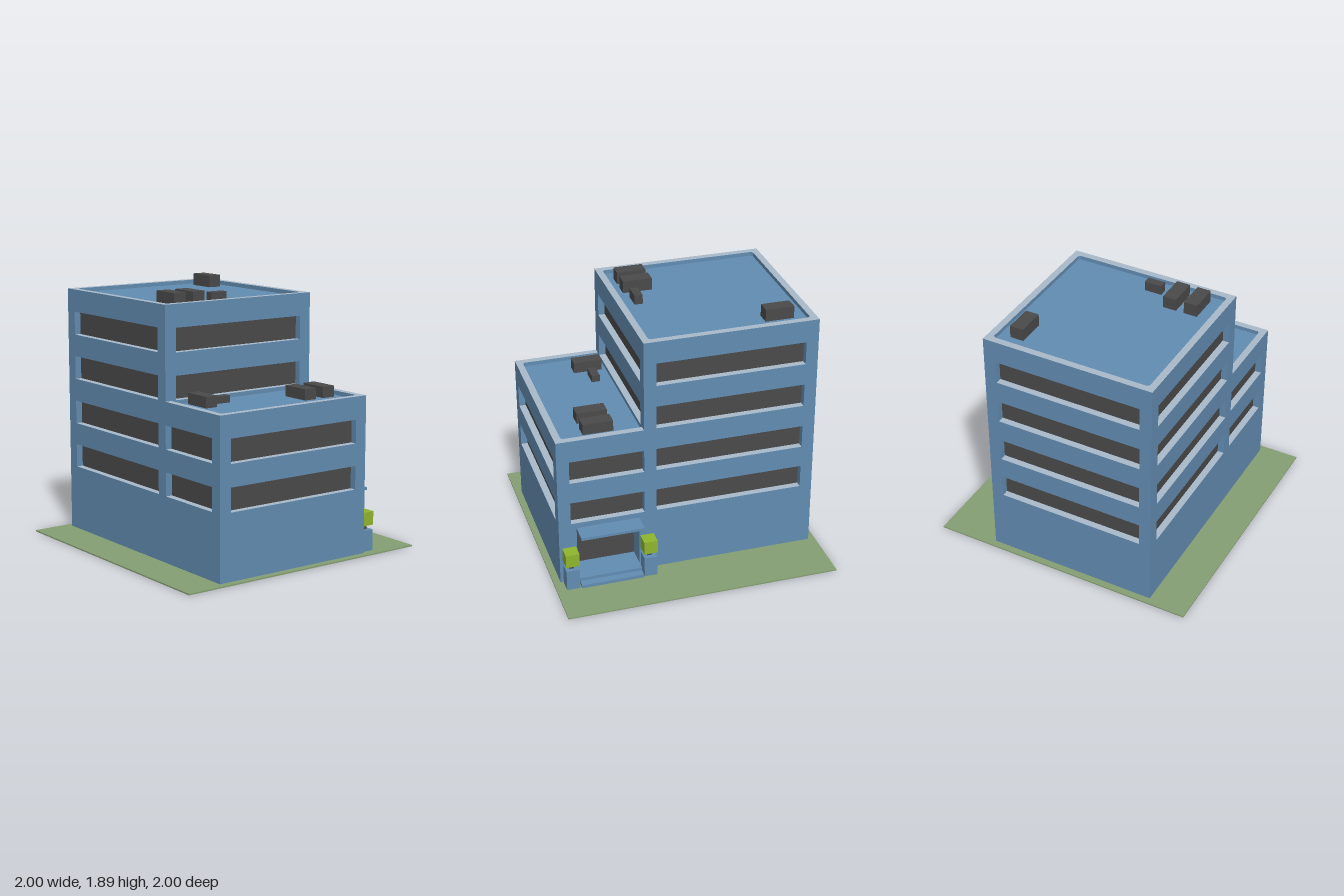
import * as THREE from 'three';

const mat = (name, color) => {
  const m = new THREE.MeshStandardMaterial({ color });
  m.name = name;
  return m;
};

export function createModel() {
  const blue = mat('blue wall', 0x628cb1);
  const pale = mat('pale trim', 0xa9bac9);
  const dark = mat('dark grey', 0x4a4a4a);
  const grass = mat('grass', 0x859f73);
  const leaf = mat('leaf green', 0x8fb52d);

  const model = new THREE.Group();
  model.name = 'officeBuilding';

  // Box given by its limits on each axis
  const box = (name, material, x0, x1, y0, y1, z0, z1, parent = model) => {
    const mesh = new THREE.Mesh(new THREE.BoxGeometry(x1 - x0, y1 - y0, z1 - z0), material);
    mesh.position.set((x0 + x1) / 2, (y0 + y1) / 2, (z0 + z1) / 2);
    mesh.name = name;
    parent.add(mesh);
    return mesh;
  };
  const toPoints = (list) => list.map(([x, y]) => new THREE.Vector2(x, y));
  const rectangle = (x0, x1, y0, y1) => [[x0, y0], [x1, y0], [x1, y1], [x0, y1]];

  const T = 0.05; // wall thickness
  const TOWER = 1.8, WING = 1.13, PARAPET = 0.03;
  const rows = [0.49, 0.823, 1.16, 1.493];
  const windowHeight = 0.172;

  // Wall with recessed window bands; its outer face lies on local z = 0
  const wall = (name, outline, windows, angle, x, z, door) => {
    const group = new THREE.Group();
    group.name = name;
    const shape = new THREE.Shape(toPoints(outline));
    const holes = door ? [...windows, door] : windows;
    holes.forEach((h) => shape.holes.push(new THREE.Path(toPoints(rectangle(...h)))));
    const geometry = new THREE.ExtrudeGeometry(shape, { depth: T, bevelEnabled: false });
    geometry.translate(0, 0, -T);
    const panel = new THREE.Mesh(geometry, blue);
    panel.name = name + 'Panel';
    group.add(panel);
    windows.forEach(([x0, x1, y0, y1]) => {
      box('windowBand', dark, x0 - 0.01, x1 + 0.01, y0 - 0.01, y1 + 0.01, -T - 0.008, -T + 0.001, group);
      const sill = new THREE.Mesh(new THREE.PlaneGeometry(x1 - x0, T), pale);
      sill.rotation.x = -Math.PI / 2;
      sill.position.set((x0 + x1) / 2, y0 + 0.001, -T / 2);
      sill.name = 'windowSill';
      group.add(sill);
    });
    group.rotation.y = angle;
    group.position.set(x, 0, z);
    model.add(group);
  };
  const bands = (x0, x1, list) => list.map((y) => [x0, x1, y, y + windowHeight]);

  // Ground plate
  box('lawn', grass, -1, 1, 0, 0.01, -1, 1);

  // Stepped front and back walls
  const outline = [[-0.95, 0.01], [0.95, 0.01], [0.95, WING], [0.32, WING], [0.32, TOWER], [-0.95, TOWER]];
  const windows = [...bands(-0.86, 0.23, rows), ...bands(0.32, 0.86, rows.slice(0, 2))];
  wall('frontWall', outline, windows, 0, 0, 0.71);
  wall('backWall', outline.map(([x, y]) => [-x, y]).reverse(),
    windows.map(([x0, x1, y0, y1]) => [-x1, -x0, y0, y1]), Math.PI, 0, -0.57,
    [-0.82, -0.36, 0.06, 0.43]);

  // Side walls fit between the front and back walls
  wall('towerOuterWall', rectangle(-0.52, 0.66, 0.01, TOWER), bands(-0.48, 0.62, rows), -Math.PI / 2, -0.95, 0);
  wall('wingOuterWall', rectangle(-0.66, 0.52, 0.01, WING), bands(-0.62, 0.48, rows.slice(0, 2)), Math.PI / 2, 0.95, 0);
  wall('towerInnerWall', rectangle(-0.66, 0.52, WING - 0.02, TOWER), bands(-0.62, 0.48, rows.slice(2)), Math.PI / 2, 0.32, 0);

  // Roof decks
  box('towerRoof', blue, -0.91, 0.28, TOWER - 0.02, TOWER, -0.53, 0.67);
  box('wingRoof', blue, 0.3, 0.91, WING - 0.02, WING, -0.53, 0.67);

  // Parapets with pale tops; shapes are drawn in x and -z
  const parapet = (name, shape, y) => {
    const geometry = new THREE.ExtrudeGeometry(shape, { depth: PARAPET, bevelEnabled: false });
    geometry.rotateX(-Math.PI / 2);
    const mesh = new THREE.Mesh(geometry, [pale, blue]);
    mesh.position.y = y;
    mesh.name = name;
    model.add(mesh);
  };
  const c = 0.015;
  const towerRing = new THREE.Shape(toPoints(rectangle(-0.95, 0.32, -0.71, 0.57)));
  towerRing.holes.push(new THREE.Path(toPoints([
    [-0.9 + c, -0.66], [0.27 - c, -0.66], [0.27, -0.66 + c], [0.27, 0.52 - c],
    [0.27 - c, 0.52], [-0.9 + c, 0.52], [-0.9, 0.52 - c], [-0.9, -0.66 + c]])));
  parapet('towerParapet', towerRing, TOWER);
  parapet('wingParapet', new THREE.Shape(toPoints([
    [0.32, -0.71], [0.95, -0.71], [0.95, 0.57], [0.32, 0.57], [0.32, 0.52],
    [0.9 - c, 0.52], [0.9, 0.52 - c], [0.9, -0.66 + c], [0.9 - c, -0.66], [0.32, -0.66]])), WING);

  // Rooftop units: x0, x1, z0, z1, base, top
  [
    [-0.81, -0.6, -0.44, -0.34, TOWER, 1.89],
    [0, 0.215, 0.3, 0.4, TOWER, 1.89],
    [0, 0.215, 0.46, 0.56, TOWER, 1.89],
    [0.13, 0.19, 0.09, 0.22, TOWER, 1.87],
    [0.51, 0.73, -0.46, -0.36, WING, 1.21],
    [0.51, 0.73, -0.295, -0.195, WING, 1.21],
    [0.41, 0.47, 0.27, 0.4, WING, 1.18],
    [0.35, 0.56, 0.445, 0.54, WING, 1.21],
  ].forEach(([x0, x1, z0, z1, y0, y1]) => box('rooftopUnit', dark, x0, x1, y0, y1, z0, z1));

  // Entrance recess, door, steps and canopy
  box('entranceFloor', blue, 0.34, 0.84, 0.04, 0.06, -0.52, -0.41);
  box('entranceCeiling', blue, 0.34, 0.84, 0.43, 0.45, -0.52, -0.41);
  [0.34, 0.82].forEach((x) => box('entranceSide', blue, x, x + 0.02, 0.06, 0.43, -0.52, -0.41));
  box('door', dark, 0.36, 0.82, 0.06, 0.43, -0.42, -0.412);
  box('lowerStep', blue, 0.36, 0.82, 0.01, 0.035, -0.685, -0.57);
  box('upperStep', blue, 0.36, 0.82, 0.035, 0.06, -0.63, -0.57);
  box('canopy', blue, 0.36, 0.82, 0.43, 0.45, -0.71, -0.57);

  // Planters on both sides of the steps
  [0.305, 0.88].forEach((x) => {
    const planter = new THREE.Group();
    planter.name = 'planter';
    box('planterBase', blue, x - 0.048, x + 0.048, 0.01, 0.165, -0.675, -0.577, planter);
    box('trunk', dark, x - 0.016, x + 0.016, 0.165, 0.2, -0.642, -0.61, planter);
    box('bush', leaf, x - 0.05, x + 0.05, 0.2, 0.3, -0.676, -0.574, planter);
    model.add(planter);
  });

  return model;
}
